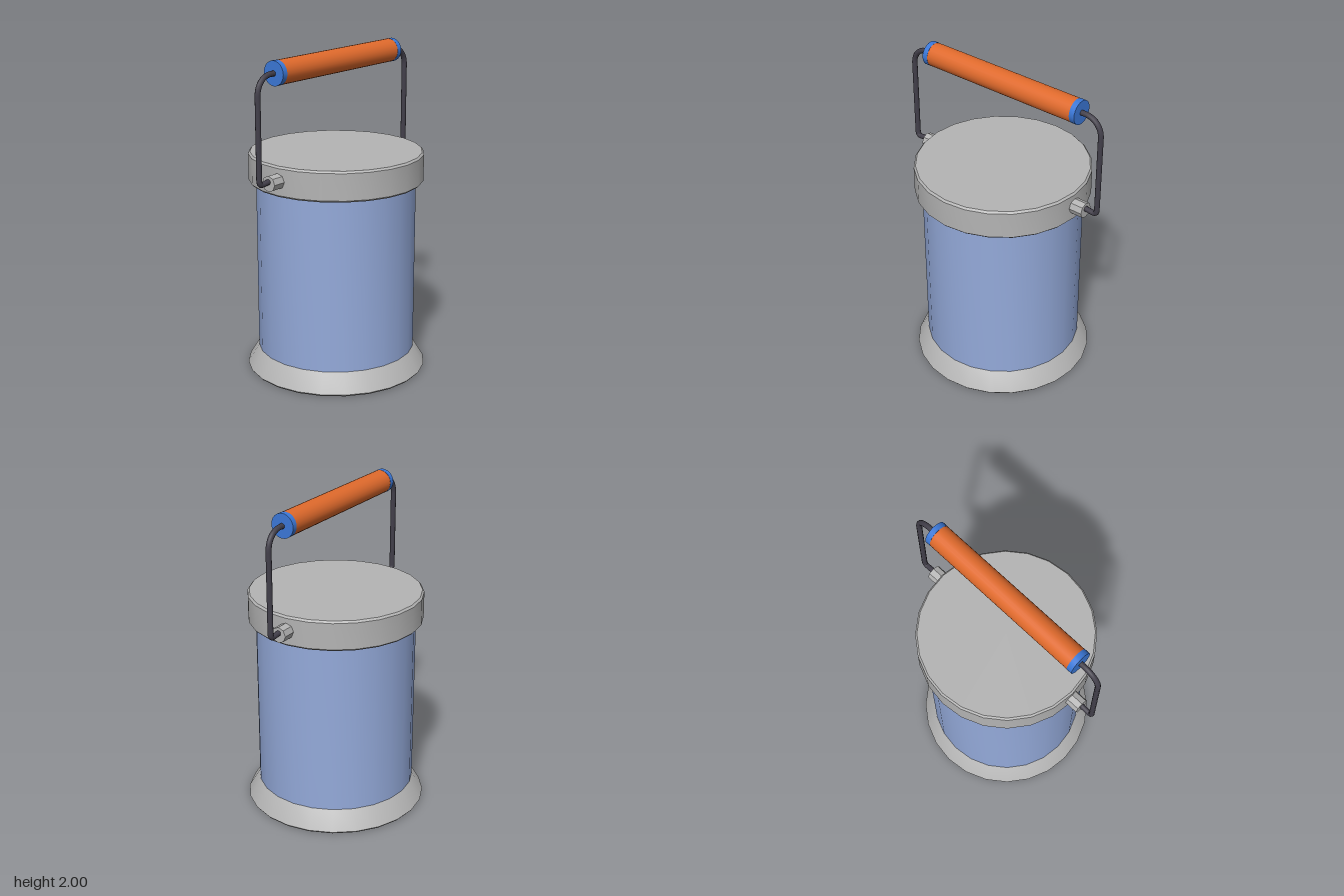
import * as THREE from 'three';
import { toCreasedNormals } from 'three/addons/utils/BufferGeometryUtils.js';

const mat = (name, color) => {
  const m = new THREE.MeshStandardMaterial({ color });
  m.name = name;
  return m;
};

export function createModel() {
  const model = new THREE.Group();
  model.name = 'carryCanister';

  const grey = mat('grey metal', 0xb4b4b4);
  const paleBlue = mat('pale blue', 0x94aada);
  const orange = mat('orange grip', 0xe06a2c);
  const blue = mat('blue caps', 0x3b78d8);
  const dark = mat('dark wire', 0x423f4a);

  const add = (name, geometry, material) => {
    const mesh = new THREE.Mesh(geometry, material);
    mesh.name = name;
    model.add(mesh);
    return mesh;
  };

  // Turned solid: [radius, y] pairs running from bottom to top
  const turned = (profile, sides = 24) => toCreasedNormals(
    new THREE.LatheGeometry(profile.map(([r, y]) => new THREE.Vector2(r, y)), sides), 0.42);

  // Cylinder lying along x between two positions
  const rod = (x0, x1, y, radius, sides) => {
    const g = new THREE.CylinderGeometry(radius, radius, Math.abs(x1 - x0), sides);
    g.rotateZ(Math.PI / 2);
    g.translate((x0 + x1) / 2, y, 0);
    return toCreasedNormals(g, 0.42);
  };

  // Container
  add('base', turned([[0, 0], [0.55, 0], [0.56, 0.012], [0.488, 0.13], [0.48, 0.137], [0, 0.137]]), grey);
  add('body', turned([[0, 0.13], [0.49, 0.13], [0.49, 1.21], [0, 1.21]]), paleBlue);
  add('lid', turned([[0, 1.2], [0.525, 1.2], [0.536, 1.211], [0.536, 1.373], [0.525, 1.385], [0, 1.385]]), grey);

  // Handle grip
  const gripY = 1.928;
  add('grip', rod(-0.522, 0.522, gripY, 0.072, 24), orange);

  for (const [side, s] of [['left', 1], ['right', -1]]) {
    add(side + 'GripCap', rod(s * 0.52, s * 0.555, gripY, 0.073, 24), blue);
    add(side + 'Pivot', rod(s * 0.5, s * 0.613, 1.296, 0.048, 8), grey);

    // Bent wire from the grip down to the pivot
    const p = (x, y) => new THREE.Vector3(s * x, y, 0);
    const path = new THREE.CurvePath();
    path.add(new THREE.LineCurve3(p(0.54, gripY), p(0.58, gripY)));
    path.add(new THREE.CubicBezierCurve3(p(0.58, gripY), p(0.64, gripY), p(0.69, 1.885), p(0.69, 1.815)));
    path.add(new THREE.LineCurve3(p(0.69, 1.815), p(0.69, 1.34)));
    path.add(new THREE.QuadraticBezierCurve3(p(0.69, 1.34), p(0.692, 1.3), p(0.665, 1.302)));
    path.add(new THREE.LineCurve3(p(0.665, 1.302), p(0.6, 1.31)));
    add(side + 'Wire', new THREE.TubeGeometry(path, 64, 0.0165, 10), dark);
  }

  return model;
}
